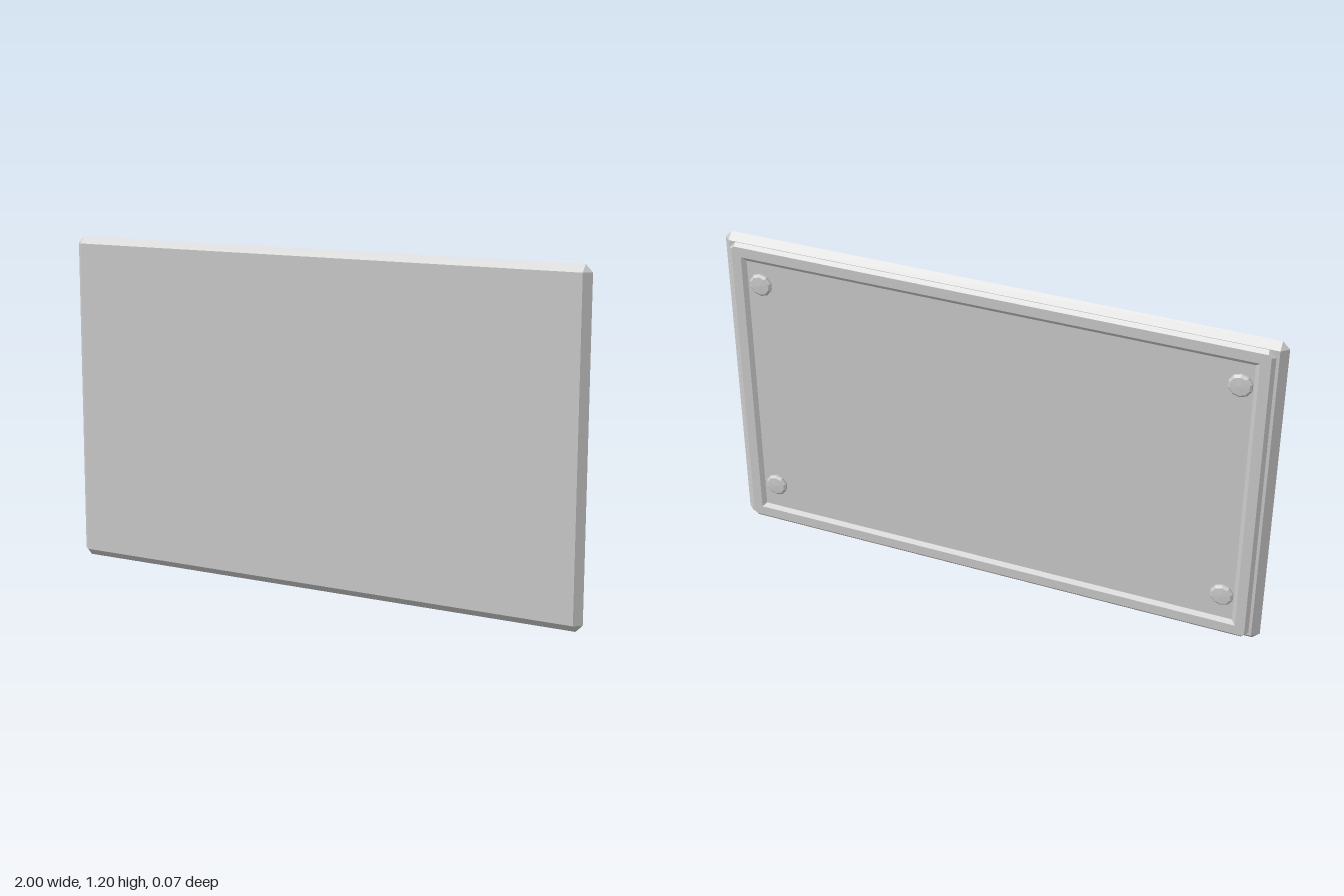
import * as THREE from 'three';

const CENTRE_Y = 0.6;

// Octagonal ring (rectangle with cut corners), counter-clockwise seen from +z
function ring([w, h, cut, z]) {
  const a = w - cut, b = h - cut;
  return [[w, -b], [w, b], [a, h], [-a, h], [-w, b], [-w, -b], [-a, -h], [a, -h]]
    .map(([x, y]) => new THREE.Vector3(x, y, z));
}

// Skin between successive rings, running from back to front around the outside.
// Either close the loop of rings or cap both ends.
function loftRings(sections, closed) {
  const rings = sections.map(ring);
  const pos = [];
  const tri = (...points) => points.forEach((p) => pos.push(p.x, p.y, p.z));
  const spans = closed ? rings.length : rings.length - 1;
  for (let i = 0; i < spans; i++) {
    const lo = rings[i], hi = rings[(i + 1) % rings.length];
    for (let j = 0; j < 8; j++) {
      const k = (j + 1) % 8;
      tri(lo[j], lo[k], hi[k]);
      tri(lo[j], hi[k], hi[j]);
    }
  }
  if (!closed) {
    const back = rings[0], front = rings[rings.length - 1];
    for (let j = 1; j < 7; j++) {
      tri(back[0], back[j + 1], back[j]);
      tri(front[0], front[j], front[j + 1]);
    }
  }
  const geometry = new THREE.BufferGeometry();
  geometry.setAttribute('position', new THREE.Float32BufferAttribute(pos, 3));
  geometry.computeVertexNormals();
  return geometry;
}

export function createModel() {
  const group = new THREE.Group();
  const material = new THREE.MeshStandardMaterial({ color: 0xcccccc, flatShading: true });
  const add = (name, geometry, x, y, z) => {
    const mesh = new THREE.Mesh(geometry, material);
    mesh.name = name;
    mesh.position.set(x, y, z);
    group.add(mesh);
  };

  // Main panel with pointed, bevelled edges
  add('panel', loftRings([
    [0.975, 0.575, 0, -0.012],
    [1.0, 0.6, 0.025, 0.0115],
    [0.975, 0.575, 0, 0.035],
  ], false), 0, CENTRE_Y, 0);

  // Bevelled rim on the back, with a hexagonal cross-section
  add('backFrame', loftRings([
    [0.955, 0.567, 0.01, -0.034],
    [0.967, 0.58, 0.025, -0.023],
    [0.955, 0.567, 0.01, -0.012],
    [0.92, 0.53, 0, -0.012],
    [0.905, 0.515, 0, -0.023],
    [0.92, 0.53, 0, -0.034],
  ], true), 0, CENTRE_Y, 0);

  // Four round pads with a bevelled rim
  const profile = [[0, -0.004], [0.042, -0.004], [0.042, 0.007], [0.034, 0.013], [0, 0.015]]
    .map(([r, y]) => new THREE.Vector2(r, y));
  const padGeometry = new THREE.LatheGeometry(profile, 10).rotateX(-Math.PI / 2);
  for (const x of [-0.86, 0.86]) {
    for (const y of [-0.425, 0.425]) {
      add('pad', padGeometry, x, CENTRE_Y + y, -0.012);
    }
  }
  return group;
}
